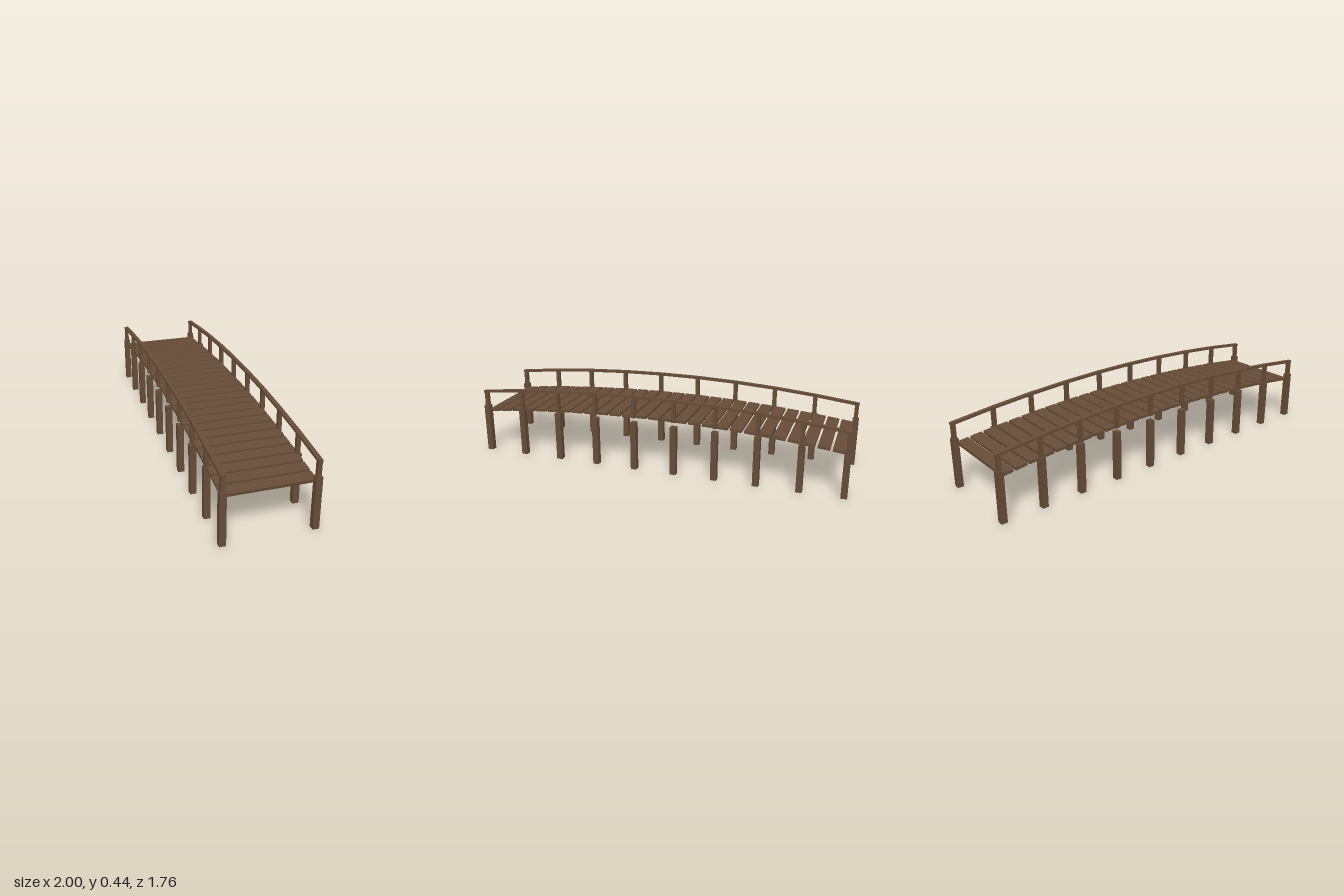
import * as THREE from 'three';

// Arched timber footbridge, built along local x and then turned about y.
const HALF_LENGTH = 1.066; // centre of the end posts
const HALF_WIDTH = 0.236;  // centre of the post rows
const BAYS = 9;
const PLANKS = 27;
const PITCH = 0.0785;
const RISE = 0.067;

// Height gained by the arch at position u along the bridge, and its slope angle
const arch = (u) => RISE * (1 - (u / HALF_LENGTH) ** 2);
const slope = (u) => Math.atan((-2 * RISE * u) / HALF_LENGTH ** 2);

export function createModel() {
  const model = new THREE.Group();
  model.name = 'footbridge';
  const bridge = new THREE.Group();
  bridge.name = 'bridgeBody';
  bridge.rotation.y = -THREE.MathUtils.degToRad(39.1);
  model.add(bridge);

  const timber = new THREE.MeshStandardMaterial({ color: 0x664c37 });
  timber.name = 'brown timber';

  const beam = (name, size, position, tilt = 0) => {
    const mesh = new THREE.Mesh(new THREE.BoxGeometry(...size), timber);
    mesh.name = name;
    mesh.position.set(...position);
    mesh.rotation.z = tilt;
    bridge.add(mesh);
  };

  // Deck planks following the arch
  for (let i = 0; i < PLANKS; i++) {
    const u = (i - (PLANKS - 1) / 2) * PITCH;
    beam('deckPlank', [0.066, 0.016, 0.474], [u, 0.252 + arch(u), 0], slope(u));
  }

  const step = (2 * HALF_LENGTH) / BAYS;
  for (const side of [-1, 1]) {
    const z = side * HALF_WIDTH;
    for (let i = 0; i <= BAYS; i++) {
      const u = -HALF_LENGTH + i * step;
      // Support pile, all cut to the same height
      beam('pile', [0.034, 0.285, 0.034], [u, 0.1425, z]);
      // Slim post from the deck up to the handrail
      const bottom = 0.245 + arch(u);
      const top = 0.37 + arch(u);
      beam('railPost', [0.022, top - bottom, 0.022], [u, (top + bottom) / 2, z]);

      // Straight handrail length to the next post
      if (i < BAYS) {
        const next = u + step;
        const rise = arch(next) - arch(u);
        const y = 0.371 + (arch(u) + arch(next)) / 2;
        const length = Math.hypot(step, rise);
        const extra = i === 0 || i === BAYS - 1 ? 0.014 : 0; // overhang at the ends
        const shift = i === 0 ? -extra / 2 : extra / 2;
        const tilt = Math.atan2(rise, step);
        beam('handrail', [length + extra, 0.014, 0.024],
          [u + step / 2 + shift, y + shift * Math.tan(tilt), z], tilt);
      }
    }
  }
  return model;
}
